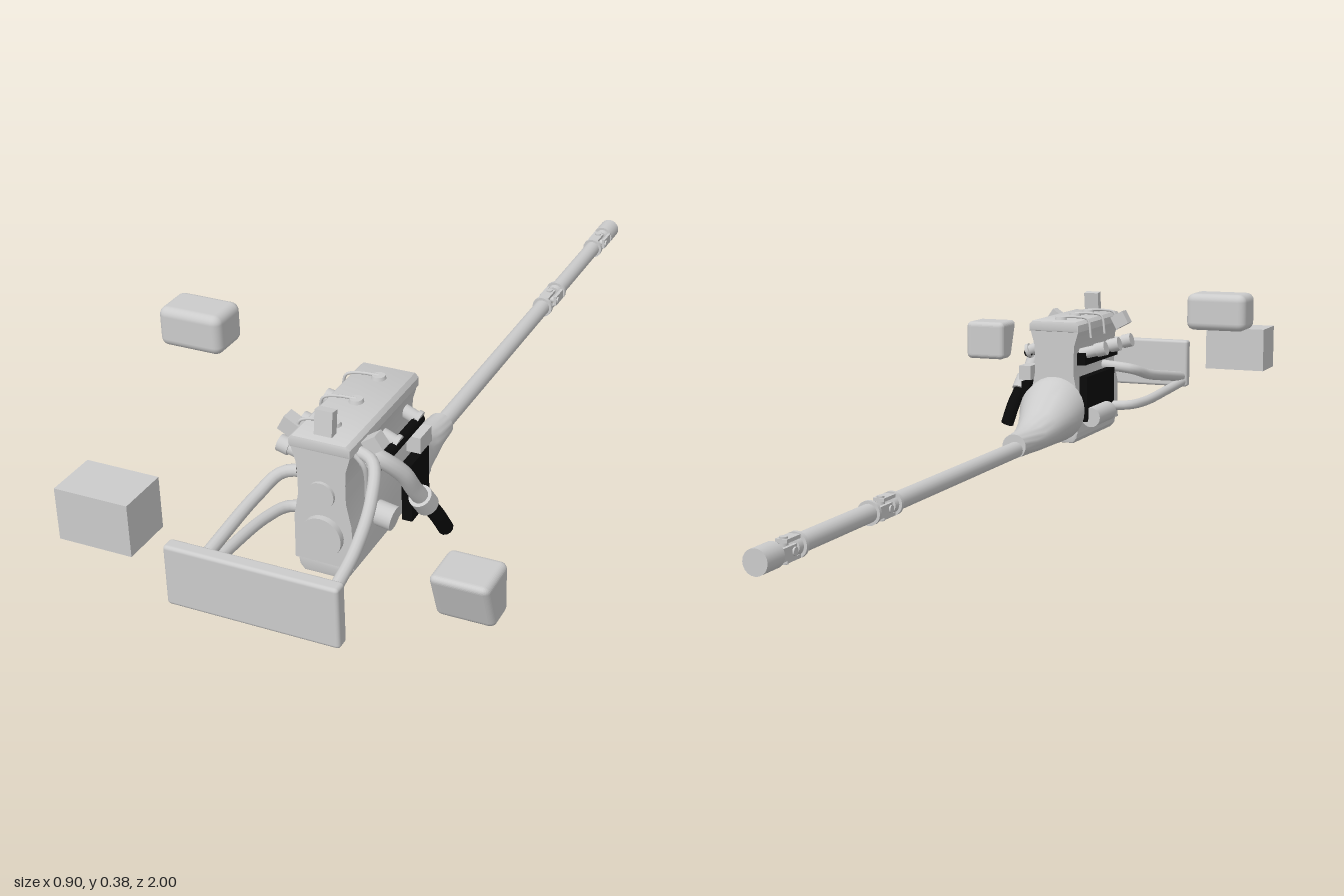
import * as THREE from 'three';
import { RoundedBoxGeometry } from 'three/addons/geometries/RoundedBoxGeometry.js';
import { toCreasedNormals } from 'three/addons/utils/BufferGeometryUtils.js';

const CX = 0.02; // engine centre line
const grey = new THREE.MeshStandardMaterial({ color: 0xcccccc, side: THREE.DoubleSide });
const black = new THREE.MeshStandardMaterial({ color: 0x0a0a0a, side: THREE.DoubleSide });

export function createModel() {
  const root = new THREE.Group();
  const V = (p) => new THREE.Vector3(...p);

  const add = (name, geo, pos = [0, 0, 0], mat = grey, rot = [0, 0, 0]) => {
    const m = new THREE.Mesh(geo, mat);
    m.name = name;
    m.position.set(...pos);
    m.rotation.set(...rot);
    root.add(m);
    return m;
  };
  const box = (name, size, pos, mat, rot) => add(name, new THREE.BoxGeometry(...size), pos, mat, rot);
  const tube = (name, pts, r, mat = grey, seg = 28) =>
    add(name, new THREE.TubeGeometry(new THREE.CatmullRomCurve3(pts.map(V)), seg, r, 12), [0, 0, 0], mat);
  // straight round bar between two points
  const rod = (name, a, b, r0, r1 = r0, mat = grey) => {
    const d = V(b).sub(V(a));
    const m = add(name, new THREE.CylinderGeometry(r1, r0, d.length(), 20),
      V(a).addScaledVector(d, 0.5).toArray(), mat);
    m.quaternion.setFromUnitVectors(new THREE.Vector3(0, 1, 0), d.normalize());
    return m;
  };
  // symmetric cross-section [halfWidth, y] extruded along z
  const slab = (name, prof, z0, z1, bevel = 0) => {
    const pts = [...prof.map(([w, y]) => [w, y]), ...prof.map(([w, y]) => [-w, y]).reverse()];
    const shape = new THREE.Shape(pts.map(([x, y]) => new THREE.Vector2(x, y)));
    const geo = new THREE.ExtrudeGeometry(shape, {
      depth: z1 - z0 - 2 * bevel, bevelEnabled: bevel > 0, bevelSize: bevel,
      bevelThickness: bevel, bevelOffset: -bevel, bevelSegments: 2,
    });
    return add(name, toCreasedNormals(geo, 0.5), [CX, 0, z0 + bevel]);
  };

  // Radiator, battery and fluid tanks
  add('radiator', new RoundedBoxGeometry(0.345, 0.125, 0.03, 2, 0.007), [0.0225, 0.1455, 0.984]);
  box('battery', [0.153, 0.108, 0.107], [-0.3065, 0.204, 0.926]);
  add('upperTank', new RoundedBoxGeometry(0.142, 0.086, 0.096, 3, 0.018), [-0.384, 0.345, 0.452]);
  const tankGeo = new RoundedBoxGeometry(0.11, 0.102, 0.1, 4, 0.013);
  const tp = tankGeo.attributes.position;
  for (let i = 0; i < tp.count; i++) {
    // front wall leans in toward the bottom
    const low = Math.max(0, 0.5 - tp.getY(i) / 0.102);
    if (tp.getZ(i) > 0) tp.setZ(i, tp.getZ(i) - 0.036 * low);
  }
  tankGeo.computeVertexNormals();
  add('sideTank', tankGeo, [0.395, 0.196, 0.904]);

  // Engine block, head cover and oil pan
  slab('engineBlock', [[0.05, 0.225], [0.05, 0.18], [0.06, 0.13], [0.062, 0.035]], 0.415, 0.715);
  slab('cylinderHead', [[0.062, 0.284], [0.052, 0.25], [0.05, 0.22]], 0.415, 0.715);
  slab('headCover', [[0.056, 0.308], [0.064, 0.3], [0.064, 0.283]], 0.41, 0.72, 0.003);
  slab('oilPan', [[0.057, 0.04], [0.054, 0.02], [0.044, 0.008]], 0.43, 0.715, 0.004);
  rod('crankPulley', [CX, 0.1, 0.71], [CX, 0.1, 0.728], 0.043);
  rod('waterPump', [CX, 0.19, 0.71], [CX, 0.19, 0.722], 0.028);

  // Spark plugs, leads and intake runners on each cylinder
  for (const z of [0.46, 0.56, 0.655]) {
    rod('sparkPlug', [CX, 0.305, z], [CX, 0.315, z], 0.016, 0.013);
    tube('plugLead', [[CX, 0.314, z], [-0.02, 0.315, z + 0.006], [-0.045, 0.309, z + 0.012], [-0.055, 0.265, z + 0.01]], 0.003);
    rod('intakeRunner', [-0.02, 0.222, z], [-0.09, 0.241, z], 0.014);
    rod('runnerFlange', [-0.075, 0.237, z], [-0.098, 0.243, z], 0.017);
    rod('exhaustStub', [0.06, 0.245, z - 0.01], [0.1, 0.228, z - 0.01], 0.014);
    rod('stubFlange', [0.095, 0.23, z - 0.01], [0.103, 0.227, z - 0.01], 0.018);
  }

  // Coil, brackets and dark side covers
  box('frontBracket', [0.037, 0.05, 0.02], [CX, 0.332, 0.688], grey, [-0.15, 0, 0]);
  box('rightCoil', [0.036, 0.034, 0.03], [-0.067, 0.292, 0.66], grey, [0, 0, -0.5]);
  box('leftCoil', [0.034, 0.03, 0.03], [0.107, 0.292, 0.66], grey, [0, 0, 0.6]);
  box('leftCoverPanel', [0.022, 0.13, 0.085], [0.098, 0.09, 0.465], black);
  box('leftHousing', [0.03, 0.035, 0.055], [0.096, 0.178, 0.44]);
  box('rightCoverPanel', [0.02, 0.11, 0.2], [-0.054, 0.12, 0.52], black);
  box('rightManifoldSeal', [0.022, 0.03, 0.24], [-0.04, 0.215, 0.56], black);
  rod('exhaustRail', [0.098, 0.225, 0.44], [0.098, 0.225, 0.65], 0.011, 0.011, black);
  rod('starterMotor', [-0.07, 0.075, 0.43], [-0.07, 0.075, 0.55], 0.024);
  rod('oilFilter', [0.06, 0.1, 0.6], [0.115, 0.09, 0.6], 0.025);

  // Down pipe with a dark flexible end
  tube('downPipe', [[0.06, 0.275, 0.66], [0.11, 0.258, 0.655], [0.145, 0.215, 0.625], [0.155, 0.165, 0.595], [0.165, 0.12, 0.565]], 0.017);
  rod('pipeCollar', [0.16, 0.142, 0.58], [0.166, 0.112, 0.56], 0.024);
  tube('flexiblePipe', [[0.164, 0.125, 0.567], [0.177, 0.08, 0.54], [0.183, 0.032, 0.51]], 0.016, black, 12);
  tube('dipstick', [[0.075, 0.28, 0.69], [0.095, 0.25, 0.685], [0.09, 0.17, 0.665], [0.085, 0.1, 0.66]], 0.005);

  // Coolant hoses to the radiator
  tube('upperHose', [[0.17, 0.175, 0.975], [0.165, 0.2, 0.87], [0.145, 0.235, 0.76], [0.115, 0.27, 0.69], [0.06, 0.277, 0.67]], 0.012);
  tube('middleHose', [[-0.132, 0.11, 0.975], [-0.13, 0.128, 0.85], [-0.122, 0.15, 0.71], [-0.1, 0.17, 0.645], [-0.02, 0.18, 0.63]], 0.013);
  tube('lowerHose', [[-0.135, 0.096, 0.975], [-0.132, 0.09, 0.85], [-0.122, 0.082, 0.68], [-0.1, 0.08, 0.625], [-0.03, 0.078, 0.61]], 0.012);

  // Gearbox lofted through rings of [z, half width, bottom, top]
  const rings = [[0.415, 0.08, 0.012, 0.172], [0.385, 0.078, 0.012, 0.165], [0.355, 0.066, 0.012, 0.14],
    [0.31, 0.053, 0.012, 0.105], [0.26, 0.042, 0.012, 0.083], [0.22, 0.034, 0.013, 0.074], [0.16, 0.029, 0.014, 0.07]];
  const N = 28, pos = [], idx = [];
  rings.forEach(([z, w, lo, hi], r) => {
    for (let i = 0; i < N; i++) {
      const a = (i / N) * Math.PI * 2;
      pos.push(CX + w * Math.cos(a), (lo + hi) / 2 + ((hi - lo) / 2) * Math.sin(a), z);
      if (r) {
        const p = (r - 1) * N + i, q = (r - 1) * N + ((i + 1) % N);
        idx.push(p, p + N, q, q, p + N, q + N);
      }
    }
  });
  const last = (rings.length - 1) * N;
  for (let i = 1; i < N - 1; i++) idx.push(0, i, i + 1, last, last + i + 1, last + i);
  const loft = new THREE.BufferGeometry();
  loft.setAttribute('position', new THREE.Float32BufferAttribute(pos, 3));
  loft.setIndex(idx);
  add('gearbox', toCreasedNormals(loft, 0.7));

  // Drive shaft sections and universal joints
  const SX = 0.017, SY = 0.034;
  const along = (name, z0, z1, r0, r1 = r0) => rod(name, [SX, SY, z0], [SX, SY, z1], r0, r1);
  along('frontShaft', 0.17, -0.48, 0.019);
  along('rearShaft', -0.575, -0.86, 0.019);
  along('endFlange', -0.945, -1, 0.025);
  for (const [z0, z1] of [[-0.475, -0.58], [-0.855, -0.95]]) {
    const mid = (z0 + z1) / 2;
    along('jointCollar', z0, z0 - 0.009, 0.025);
    along('jointCollar', z1 + 0.009, z1, 0.025);
    along('jointNeck', z0, z0 - 0.022, 0.02, 0.017);
    along('jointNeck', z1 + 0.022, z1, 0.017, 0.02);
    for (const s of [-1, 1]) {
      box('frontYoke', [0.024, 0.007, 0.05], [SX, SY + s * 0.018, mid + 0.016]);
      box('rearYoke', [0.007, 0.024, 0.05], [SX + s * 0.018, SY, mid - 0.016]);
    }
    rod('crossPin', [SX, SY - 0.025, mid], [SX, SY + 0.025, mid], 0.008);
    rod('crossPin', [SX - 0.025, SY, mid], [SX + 0.025, SY, mid], 0.008);
  }
  return root;
}
